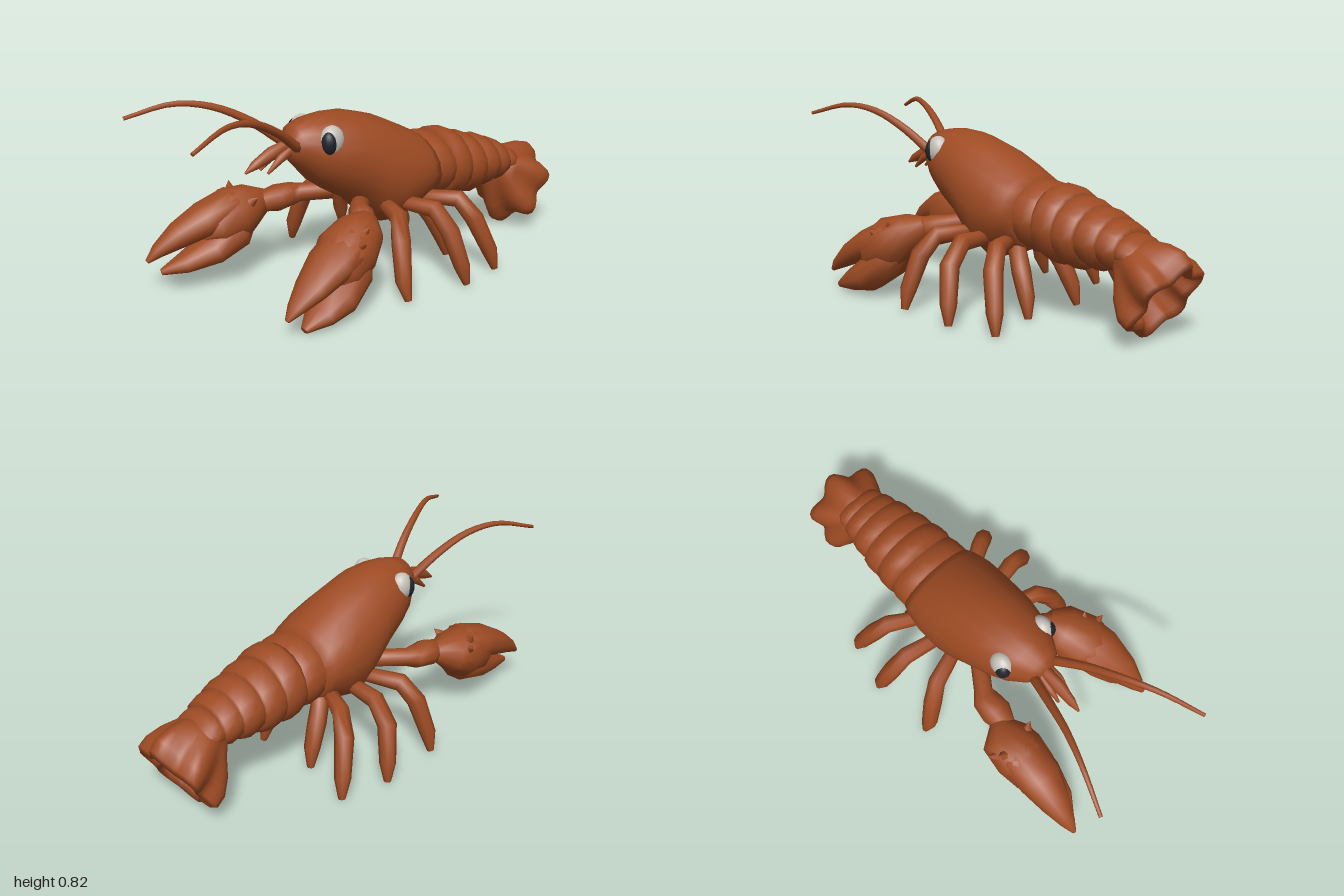
import * as THREE from 'three';

const shell = new THREE.MeshStandardMaterial({ color: 0x9e4b23 });
shell.name = 'rust shell';
const eyeWhite = new THREE.MeshStandardMaterial({ color: 0xc6c2ba });
eyeWhite.name = 'eye white';
const eyeBlack = new THREE.MeshStandardMaterial({ color: 0x20252b });
eyeBlack.name = 'eye black';

const UP = [0, 1, 0], FORWARD = [0, 0, 1];

// Closed skin over elliptical rings [x, y, z, side radius, up radius, six-lobed scallop]
function loft(rings, { n = 10, ref = UP, axis = null } = {}) {
  const up0 = new THREE.Vector3(...ref);
  const pts = rings.map((r) => new THREE.Vector3(r[0], r[1], r[2]));
  const pos = [], idx = [], last = rings.length - 1;
  rings.forEach(([, , , rx, ry, scallop = 0], i) => {
    const t = axis ? new THREE.Vector3(...axis).normalize()
      : pts[Math.min(i + 1, last)].clone().sub(pts[Math.max(i - 1, 0)]).normalize();
    const side = up0.clone().cross(t).normalize();
    const up = t.clone().cross(side);
    for (let j = 0; j < n; j++) {
      const a = (j / n) * Math.PI * 2, k = 1 - scallop * Math.cos(6 * a);
      const p = pts[i].clone().addScaledVector(side, k * rx * Math.cos(a)).addScaledVector(up, k * ry * Math.sin(a));
      pos.push(p.x, p.y, p.z);
      if (i < last) {
        const A = i * n + j, B = i * n + ((j + 1) % n);
        idx.push(A, B, A + n, B, B + n, A + n);
      }
    }
  });
  const c0 = rings.length * n, c1 = c0 + 1;
  pos.push(...pts[0].toArray(), ...pts[last].toArray());
  for (let j = 0; j < n; j++) {
    const k = (j + 1) % n;
    idx.push(c0, k, j, c1, last * n + j, last * n + k);
  }
  const g = new THREE.BufferGeometry();
  g.setAttribute('position', new THREE.Float32BufferAttribute(pos, 3));
  g.setIndex(idx);
  g.computeVertexNormals();
  return g;
}

export function createModel() {
  const model = new THREE.Group();
  model.name = 'lobster';
  const add = (name, geo, mat = shell, parent = model) => {
    const m = new THREE.Mesh(geo, mat);
    m.name = name;
    parent.add(m);
    return m;
  };
  const mirrorX = (rings, s) => rings.map(([x, ...rest]) => [x * s, ...rest]);
  const ellipsoid = (name, c, r, mat) => {
    const m = add(name, new THREE.SphereGeometry(1, 16, 12), mat);
    m.position.set(...c);
    m.scale.set(...r);
  };

  // Body rings given as [z, top, bottom, half width]
  const bodyLoft = (rows) => loft(
    rows.map(([z, top, bottom, w]) => [0, (top + bottom) / 2, z, w, (top - bottom) / 2]),
    { n: 18, axis: [0, 0, -1] });

  add('carapace', bodyLoft([
    [0.43, 0.66, 0.58, 0.05], [0.40, 0.715, 0.54, 0.09], [0.33, 0.735, 0.46, 0.135],
    [0.25, 0.742, 0.40, 0.165], [0.15, 0.735, 0.34, 0.19], [0.06, 0.71, 0.25, 0.205],
    [-0.02, 0.685, 0.205, 0.214], [-0.12, 0.635, 0.235, 0.216], [-0.2, 0.592, 0.27, 0.202],
    [-0.25, 0.56, 0.285, 0.183]]));

  // Overlapping abdomen segments: [front z, back z, top, bottom, half width]
  [[-0.20, -0.35, 0.575, 0.27, 0.185], [-0.32, -0.45, 0.572, 0.24, 0.182], [-0.42, -0.55, 0.535, 0.237, 0.173],
    [-0.52, -0.65, 0.505, 0.25, 0.155], [-0.61, -0.73, 0.47, 0.26, 0.136], [-0.70, -0.80, 0.425, 0.275, 0.118],
  ].forEach(([a, b, top, bot, w], i) => {
    const at = (f) => a + (b - a) * f;
    add('abdomenSegment' + (i + 1), bodyLoft([
      [at(0), top - 0.02, bot + 0.03, w - 0.015], [at(0.3), top, bot + 0.012, w],
      [at(0.65), top - 0.006, bot, w], [at(0.95), top - 0.024, bot + 0.015, w - 0.01],
      [at(1), top - 0.045, bot + 0.04, w - 0.03]]));
  });

  // Tail fan: a scalloped cup with a thick curled rim, open to the back and below
  add('tailFan', loft([
    [0, 0.34, -0.72, 0.11, 0.07], [0, 0.305, -0.755, 0.125, 0.115, 0.04], [0, 0.26, -0.795, 0.155, 0.16, 0.08],
    [0, 0.215, -0.845, 0.176, 0.184, 0.12], [0, 0.185, -0.885, 0.176, 0.172, 0.15],
    [0, 0.175, -0.897, 0.155, 0.152, 0.16], [0, 0.19, -0.88, 0.135, 0.13, 0.15],
    [0, 0.235, -0.825, 0.115, 0.115, 0.1], [0, 0.27, -0.785, 0.06, 0.06]], { n: 48, axis: [0, -0.52, -0.85] }));

  for (const s of [-1, 1]) {
    // Walking legs, bent down at the knee
    [[[0.14, 0.33, 0.03], [0.3, 0.33, 0.085], [0.36, 0.25, 0.12], [0.41, 0.1, 0.145], [0.435, 0.02, 0.14]],
      [[0.14, 0.32, -0.06], [0.32, 0.33, -0.095], [0.4, 0.25, -0.11], [0.44, 0.1, -0.145], [0.455, 0.02, -0.16]],
      [[0.14, 0.32, -0.18], [0.28, 0.33, -0.26], [0.34, 0.25, -0.3], [0.385, 0.1, -0.355], [0.4, 0.015, -0.375]],
      [[0.06, 0.32, -0.15], [0.1, 0.27, -0.2], [0.125, 0.2, -0.245], [0.14, 0.1, -0.29], [0.15, 0.015, -0.31]],
    ].forEach((path, i) => {
      const r = [0.032, 0.039, 0.041, 0.035, 0.015];
      add('leg' + (i + 1), loft(mirrorX(path.map((p, k) => [...p, r[k], r[k]]), s), { n: 8, ref: FORWARD }));
    });

    // Long feelers
    const curve = new THREE.CatmullRomCurve3([[0.05, 0.62, 0.4], [0.105, 0.73, 0.54], [0.155, 0.8, 0.68],
      [0.212, 0.82, 0.82], [0.285, 0.774, 0.995]].map(([x, y, z]) => new THREE.Vector3(s * x, y, z)));
    add('feeler', loft(curve.getPoints(14).map((p, i) => {
      const r = 0.022 - 0.001 * i;
      return [p.x, p.y, p.z, r, r];
    }), { n: 7 }));

    // Short feelers beside the snout
    add('shortFeeler', loft([[s * 0.02, 0.625, 0.4, 0.02, 0.02], [s * 0.03, 0.59, 0.48, 0.017, 0.018],
      [s * 0.03, 0.54, 0.54, 0.006, 0.006]], { n: 7 }));

    // Eyes
    ellipsoid('eyeWhite', [s * 0.111, 0.65, 0.284], [0.045, 0.064, 0.055], eyeWhite);
    ellipsoid('pupil', [s * 0.125, 0.647, 0.307], [0.034, 0.05, 0.033], eyeBlack);
  }

  // Snout spike
  add('snout', loft([[0, 0.635, 0.4, 0.025, 0.03], [0, 0.61, 0.5, 0.028, 0.03],
    [0, 0.575, 0.58, 0.02, 0.02], [0, 0.55, 0.625, 0.005, 0.005]], { n: 8 }));

  // Claws, posed differently on each side
  const claws = {
    rightClaw: {
      arm: [[-0.1, 0.35, 0.14, 0.04, 0.04], [-0.18, 0.34, 0.25, 0.04, 0.04], [-0.2, 0.335, 0.29, 0.06, 0.05],
        [-0.205, 0.33, 0.36, 0.068, 0.058], [-0.215, 0.325, 0.43, 0.045, 0.045]],
      palm: [[-0.22, 0.33, 0.4, 0.045, 0.045], [-0.25, 0.315, 0.46, 0.108, 0.085],
        [-0.25, 0.285, 0.55, 0.12, 0.125], [-0.248, 0.25, 0.65, 0.105, 0.1], [-0.25, 0.225, 0.71, 0.05, 0.03]],
      upper: [[-0.25, 0.33, 0.47, 0.05, 0.04], [-0.25, 0.318, 0.56, 0.107, 0.09], [-0.26, 0.288, 0.69, 0.098, 0.075],
        [-0.275, 0.24, 0.8, 0.068, 0.058], [-0.285, 0.19, 0.89, 0.036, 0.032], [-0.29, 0.15, 0.94, 0.01, 0.01]],
      lower: [[-0.24, 0.26, 0.48, 0.05, 0.04], [-0.24, 0.22, 0.56, 0.11, 0.085], [-0.228, 0.162, 0.68, 0.096, 0.066],
        [-0.235, 0.128, 0.8, 0.063, 0.042], [-0.255, 0.105, 0.895, 0.014, 0.014]],
      spines: [[-0.355, 0.355, 0.49], [-0.33, 0.39, 0.52], [-0.15, 0.365, 0.5]],
    },
    leftClaw: {
      arm: [[0.09, 0.35, 0.12, 0.04, 0.04], [0.15, 0.34, 0.18, 0.042, 0.042], [0.2, 0.335, 0.2, 0.055, 0.05],
        [0.25, 0.33, 0.23, 0.05, 0.05]],
      palm: [[0.25, 0.34, 0.21, 0.05, 0.045], [0.28, 0.31, 0.27, 0.108, 0.085],
        [0.315, 0.255, 0.36, 0.13, 0.12], [0.345, 0.2, 0.44, 0.11, 0.1], [0.36, 0.16, 0.49, 0.05, 0.03]],
      upper: [[0.29, 0.32, 0.26, 0.05, 0.04], [0.32, 0.282, 0.35, 0.112, 0.088], [0.352, 0.238, 0.47, 0.108, 0.07],
        [0.38, 0.175, 0.58, 0.074, 0.052], [0.393, 0.12, 0.66, 0.036, 0.03], [0.4, 0.085, 0.7, 0.01, 0.01]],
      lower: [[0.3, 0.25, 0.28, 0.05, 0.04], [0.33, 0.185, 0.36, 0.11, 0.088], [0.37, 0.1, 0.46, 0.1, 0.078],
        [0.395, 0.064, 0.55, 0.074, 0.048], [0.41, 0.03, 0.63, 0.018, 0.016]],
      spines: [[0.38, 0.35, 0.31], [0.43, 0.32, 0.36], [0.205, 0.25, 0.34]],
    },
  };
  for (const [name, c] of Object.entries(claws)) {
    const group = new THREE.Group();
    group.name = name;
    model.add(group);
    add('arm', loft(c.arm), shell, group);
    add('palm', loft(c.palm, { n: 12 }), shell, group);
    add('upperFinger', loft(c.upper), shell, group);
    add('lowerFinger', loft(c.lower), shell, group);
    // Short spines pointing away from the palm
    const centre = new THREE.Vector3(...c.palm[2].slice(0, 3));
    for (const p of c.spines) {
      const spine = add('spine', new THREE.ConeGeometry(0.022, 0.04, 6), shell, group);
      spine.position.set(...p);
      spine.quaternion.setFromUnitVectors(new THREE.Vector3(0, 1, 0), spine.position.clone().sub(centre).normalize());
    }
  }
  return model;
}
